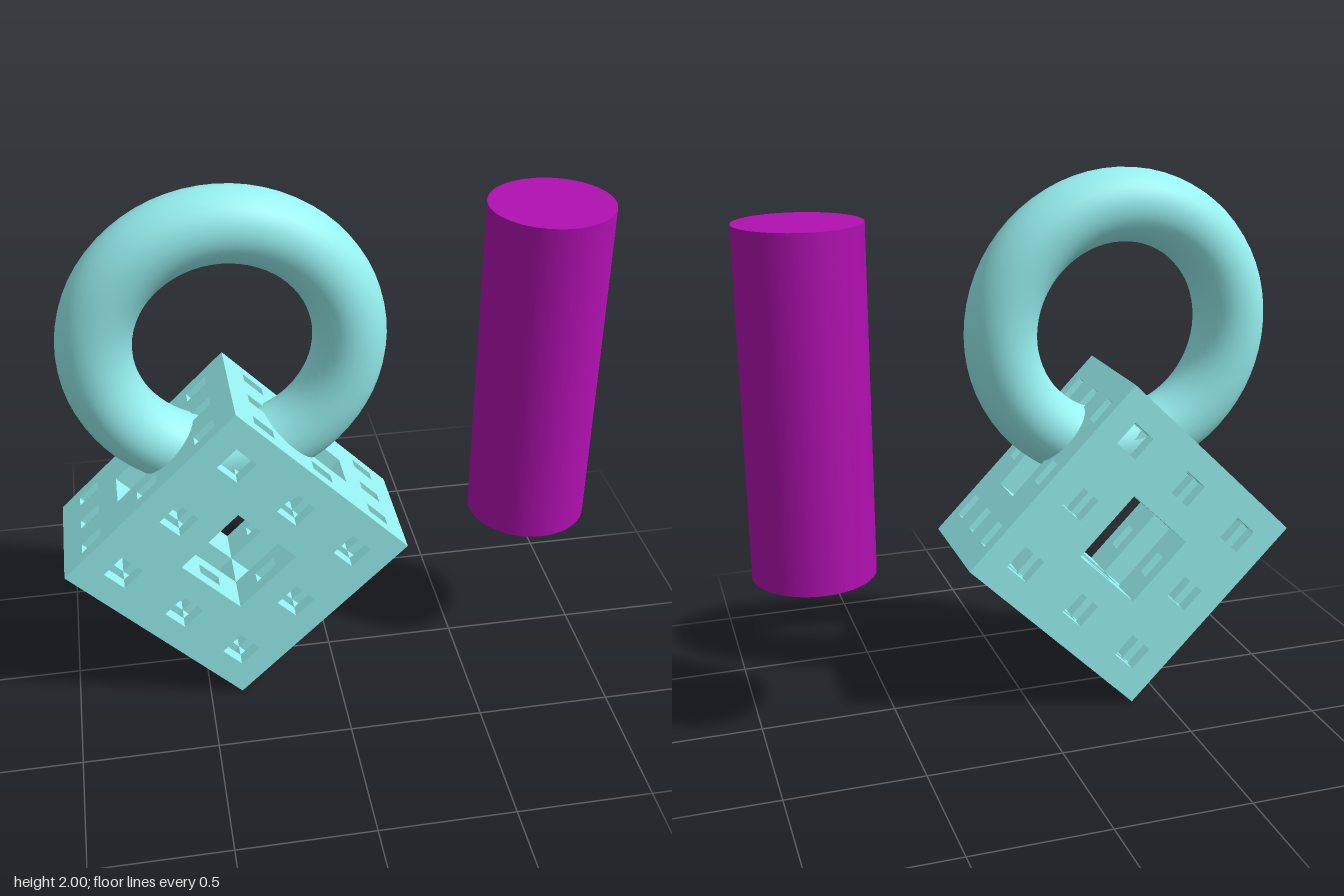
import * as THREE from 'three';

const aqua = new THREE.MeshStandardMaterial({ color: 0x97f0f0 });
const purple = new THREE.MeshStandardMaterial({ color: 0xb010b0 });

// A cell is cut away when at least two of its base-3 digits are 1, at either level
function isSolid(...cell) {
  if (cell.some((c) => c < 0 || c > 8)) return false;
  for (const step of [1, 3]) {
    const middles = cell.filter((c) => Math.floor(c / step) % 3 === 1).length;
    if (middles >= 2) return false;
  }
  return true;
}

// Two-level fractal sponge in a unit cube, made only of its exposed cell faces
function spongeGeometry() {
  const positions = [];
  const addFace = (cell, axis, dir) => {
    const u = (axis + 1) % 3, v = (axis + 2) % 3;
    const corner = (du, dv) => {
      const p = [...cell];
      p[axis] += dir > 0 ? 1 : 0;
      p[u] += du;
      p[v] += dv;
      return p.map((c) => c / 9 - 0.5);
    };
    const a = corner(0, 0), b = corner(1, 0), c = corner(1, 1), d = corner(0, 1);
    const order = dir > 0 ? [a, b, c, a, c, d] : [a, c, b, a, d, c];
    positions.push(...order.flat());
  };
  for (let i = 0; i < 9; i++)
    for (let j = 0; j < 9; j++)
      for (let k = 0; k < 9; k++) {
        if (!isSolid(i, j, k)) continue;
        for (let axis = 0; axis < 3; axis++)
          for (const dir of [-1, 1]) {
            const next = [i, j, k];
            next[axis] += dir;
            if (!isSolid(...next)) addFace([i, j, k], axis, dir);
          }
      }
  const geometry = new THREE.BufferGeometry();
  geometry.setAttribute('position', new THREE.Float32BufferAttribute(positions, 3));
  return geometry;
}

export function createModel() {
  const model = new THREE.Group();
  const add = (name, geometry, material, x, y) => {
    const mesh = new THREE.Mesh(geometry, material);
    mesh.name = name;
    mesh.position.set(x, y, 0);
    model.add(mesh);
    return mesh;
  };

  // Perforated block, half as deep as wide, standing on its edge
  const block = spongeGeometry();
  block.scale(0.891, 0.891, 0.445);
  block.rotateZ(THREE.MathUtils.degToRad(44.2));
  block.computeVertexNormals();
  add('perforatedBlock', block, aqua, -0.37, 0.63);

  // Upright ring passing through the block's top corner
  add('ring', new THREE.TorusGeometry(0.4465, 0.1315, 32, 64), aqua, -0.3725, 1.422);

  // Free-standing column
  add('column', new THREE.CylinderGeometry(0.2225, 0.2225, 1.26, 64), purple, 0.7775, 1.23);

  return model;
}
